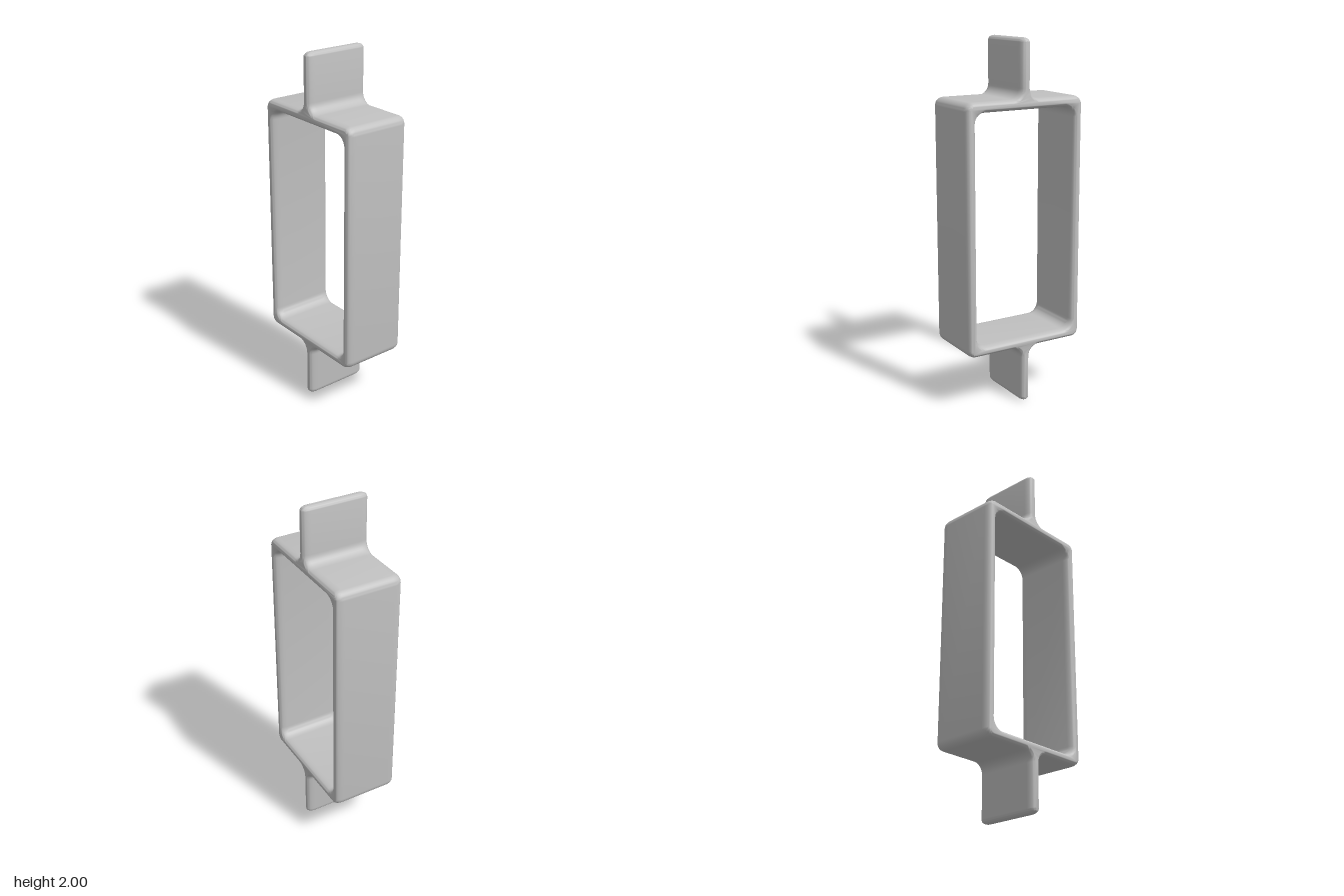
import * as THREE from 'three';
import { mergeVertices, toCreasedNormals } from 'three/addons/utils/BufferGeometryUtils.js';

// Trace a closed outline whose corners [x, y, radius] are rounded off.
function roundedOutline(path, corners) {
  const n = corners.length;
  const K = 0.5523;
  corners.forEach(([x, y, r], i) => {
    const p = new THREE.Vector2(x, y);
    const toward = (c) => new THREE.Vector2(c[0], c[1]).sub(p).normalize();
    const before = toward(corners[(i + n - 1) % n]);
    const after = toward(corners[(i + 1) % n]);
    const at = (dir, d) => p.clone().addScaledVector(dir, d);
    const a = at(before, r), b = at(after, r);
    const c1 = at(before, r * (1 - K)), c2 = at(after, r * (1 - K));
    if (i === 0) path.moveTo(a.x, a.y);
    else path.lineTo(a.x, a.y);
    path.bezierCurveTo(c1.x, c1.y, c2.x, c2.y, b.x, b.y);
  });
  path.closePath();
  return path;
}

export function createModel() {
  const grey = new THREE.MeshStandardMaterial({ color: 0xc0c0c0 });
  grey.name = 'light grey';

  const W = 0.355, TOP = 1.687, BOTTOM = 0.322; // outer frame
  const w = 0.3, top = 1.63, bottom = 0.376;    // opening
  const T = 0.028, tip = 0.027;                 // tab half width, tip radius
  const corner = 0.045, fillet = 0.055, inner = 0.055;

  // Frame outline with a tab growing out of the top and the bottom
  const outline = roundedOutline(new THREE.Shape(), [
    [W, BOTTOM, corner], [W, TOP, corner],
    [T, TOP, fillet], [T, 2, tip], [-T, 2, tip], [-T, TOP, fillet],
    [-W, TOP, corner], [-W, BOTTOM, corner],
    [-T, BOTTOM, fillet], [-T, 0.005, tip], [T, 0.005, tip], [T, BOTTOM, fillet],
  ]);

  // Rectangular opening
  outline.holes.push(roundedOutline(new THREE.Path(), [
    [w, bottom, inner], [-w, bottom, inner], [-w, top, inner], [w, top, inner],
  ]));

  // Band with softly rounded front and back rims
  const halfDepth = 0.187, rim = 0.045, bevel = 0.021;
  const depth = 2 * (halfDepth - rim);
  let geometry = new THREE.ExtrudeGeometry(outline, {
    depth, curveSegments: 8,
    bevelEnabled: true, bevelThickness: rim, bevelSize: bevel,
    bevelOffset: -bevel, bevelSegments: 6,
  });
  geometry.translate(0, 0, -depth / 2);
  geometry.deleteAttribute('uv');
  geometry.deleteAttribute('normal');
  geometry = toCreasedNormals(mergeVertices(geometry, 1e-5), 0.9);

  const frame = new THREE.Mesh(geometry, grey);
  frame.name = 'frameWithTabs';

  const group = new THREE.Group();
  group.name = 'rectangularBracket';
  group.add(frame);
  return group;
}
